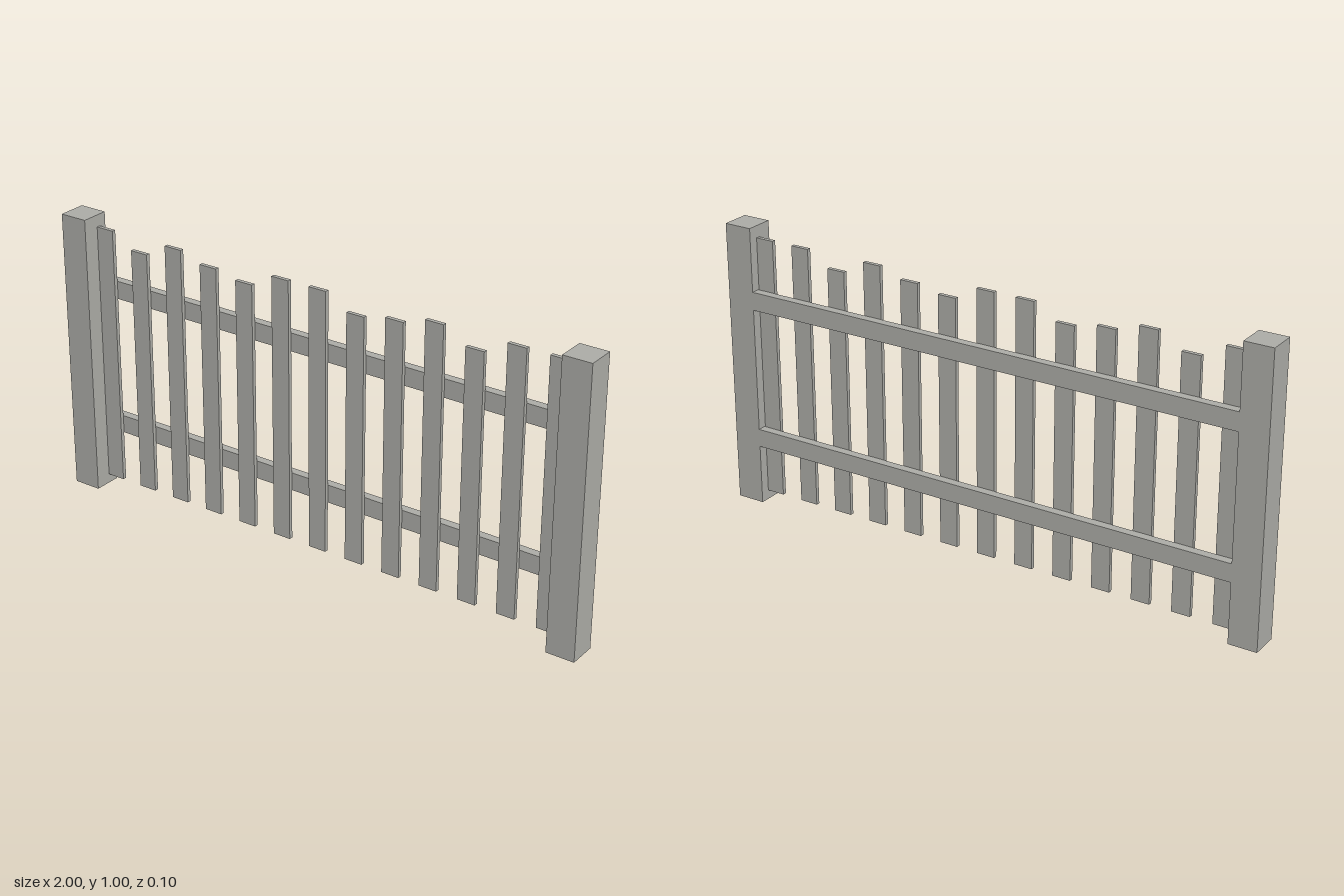
import * as THREE from 'three';

export function createModel() {
  const fence = new THREE.Group();
  fence.name = 'fence';
  const wood = new THREE.MeshStandardMaterial({ color: 0xadada8 });
  wood.name = 'weathered grey wood';

  // Box board given by its centre x, bottom/top y and back/front z
  const board = (name, x, width, y0, y1, z0, z1) => {
    const mesh = new THREE.Mesh(new THREE.BoxGeometry(width, y1 - y0, z1 - z0), wood);
    mesh.position.set(x, (y0 + y1) / 2, (z0 + z1) / 2);
    mesh.name = name;
    fence.add(mesh);
  };

  // End posts
  board('leftPost', 0.95, 0.1, 0, 1, -0.05, 0.05);
  board('rightPost', -0.95, 0.1, 0, 1, -0.05, 0.05);

  // Horizontal rails, flush with the back of the posts
  board('lowerRail', 0, 1.8, 0.213, 0.277, -0.05, -0.02);
  board('upperRail', 0, 1.8, 0.713, 0.777, -0.05, -0.02);

  // Pickets of uneven height on the front of the rails
  const tops = [0.96, 0.91, 0.96, 0.93, 0.91, 0.96, 0.96, 0.91, 0.93, 0.96, 0.91, 0.96, 0.96];
  tops.forEach((top, i) => {
    board(`picket${i + 1}`, (i - 6) * 0.144, 0.066, 0.035, top, -0.02, -0.006);
  });

  return fence;
}
